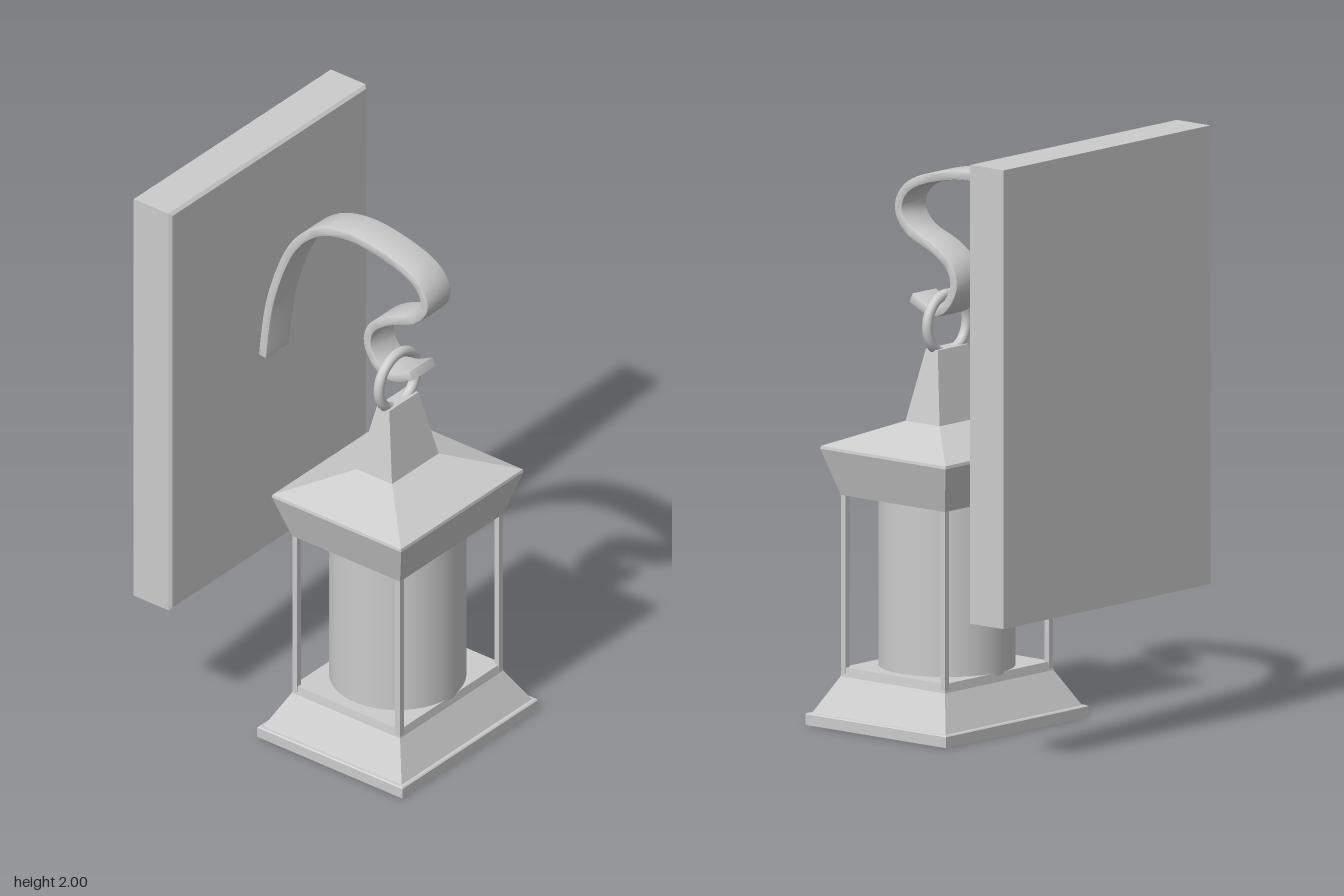
import * as THREE from 'three';
import { toCreasedNormals } from 'three/addons/utils/BufferGeometryUtils.js';

const flat = new THREE.MeshStandardMaterial({ color: 0xcccccc, flatShading: true });
const smooth = new THREE.MeshStandardMaterial({ color: 0xcccccc });
const LANTERN_Z = 0.195;

// Solid through stacked rectangles [y, halfX, halfZ], listed bottom to top
function rectLoft(levels) {
  const pos = [], index = [];
  for (const [y, hx, hz] of levels) pos.push(-hx, y, hz, hx, y, hz, hx, y, -hz, -hx, y, -hz);
  for (let l = 0; l < levels.length - 1; l++) {
    for (let i = 0; i < 4; i++) {
      const a = l * 4 + i, b = l * 4 + (i + 1) % 4;
      index.push(a, b, b + 4, a, b + 4, a + 4);
    }
  }
  const t = (levels.length - 1) * 4;
  index.push(0, 2, 1, 0, 3, 2, t, t + 1, t + 2, t, t + 2, t + 3);
  const geo = new THREE.BufferGeometry();
  geo.setAttribute('position', new THREE.Float32BufferAttribute(pos, 3));
  geo.setIndex(index);
  const out = geo.toNonIndexed();
  out.computeVertexNormals();
  return out;
}

// Flat strip of metal following a side profile of [z, y] points
function bandGeometry(points, width, thickness) {
  const bevel = 0.006, half = thickness / 2 - bevel, steps = 90;
  const curve = new THREE.SplineCurve(points.map(([z, y]) => new THREE.Vector2(z, y)));
  const sideA = [], sideB = [];
  for (let i = 0; i <= steps; i++) {
    const p = curve.getPointAt(i / steps), t = curve.getTangentAt(i / steps);
    sideA.push(new THREE.Vector2(p.x - t.y * half, p.y + t.x * half));
    sideB.push(new THREE.Vector2(p.x + t.y * half, p.y - t.x * half));
  }
  const geo = new THREE.ExtrudeGeometry(new THREE.Shape([...sideA, ...sideB.reverse()]), {
    depth: width - 2 * bevel, bevelEnabled: true, bevelSize: bevel, bevelThickness: bevel, bevelSegments: 2,
  });
  geo.translate(0, 0, -width / 2 + bevel);
  geo.rotateY(-Math.PI / 2);
  return toCreasedNormals(geo, 0.7);
}

export function createModel() {
  const model = new THREE.Group();
  model.name = 'wallLantern';
  const add = (parent, name, geo, mat, x = 0, y = 0, z = 0) => {
    const mesh = new THREE.Mesh(geo, mat);
    mesh.name = name;
    mesh.position.set(x, y, z);
    parent.add(mesh);
    return mesh;
  };

  // Wall plate, with its front edges slightly bevelled
  const plate = rectLoft([[-0.5, 0.515, 0.765], [-0.355, 0.515, 0.765], [-0.345, 0.505, 0.755]]);
  plate.rotateX(Math.PI / 2);
  add(model, 'wallPlate', plate, flat, 0, 1.235, 0);

  // Scrolled hook
  add(model, 'hook', bandGeometry([
    [-0.325, 1.245], [-0.292, 1.47], [-0.21, 1.69], [-0.1, 1.805], [0.04, 1.843],
    [0.2, 1.822], [0.315, 1.775], [0.355, 1.7], [0.31, 1.63], [0.2, 1.58],
    [0.13, 1.525], [0.117, 1.455], [0.16, 1.388], [0.22, 1.372], [0.295, 1.405],
  ], 0.125, 0.032), smooth);

  // Lantern hanging from the hook
  const lantern = new THREE.Group();
  lantern.name = 'lantern';
  lantern.position.z = LANTERN_Z;
  model.add(lantern);

  add(lantern, 'hangingRing', new THREE.TorusGeometry(0.098, 0.018, 12, 48), smooth, 0, 1.327, 0);

  add(lantern, 'roof', rectLoft([
    [0.765, 0.27, 0.227], [0.92, 0.32, 0.272], [0.93, 0.318, 0.27],
    [1.01, 0.122, 0.074], [1.25, 0.076, 0.026],
  ]), flat);

  add(lantern, 'glassCylinder', new THREE.CylinderGeometry(0.225, 0.225, 0.6, 64), smooth, 0, 0.48, 0);

  // Four corner posts
  for (const sx of [-1, 1]) {
    for (const sz of [-1, 1]) {
      add(lantern, 'cornerPost', new THREE.BoxGeometry(0.02, 0.63, 0.02), flat, sx * 0.259, 0.465, sz * 0.216);
    }
  }

  add(lantern, 'base', rectLoft([
    [0, 0.355, 0.305], [0.036, 0.355, 0.305], [0.04, 0.351, 0.301], [0.04, 0.34, 0.29],
    [0.16, 0.27, 0.227], [0.19, 0.266, 0.223],
  ]), flat);

  return model;
}
